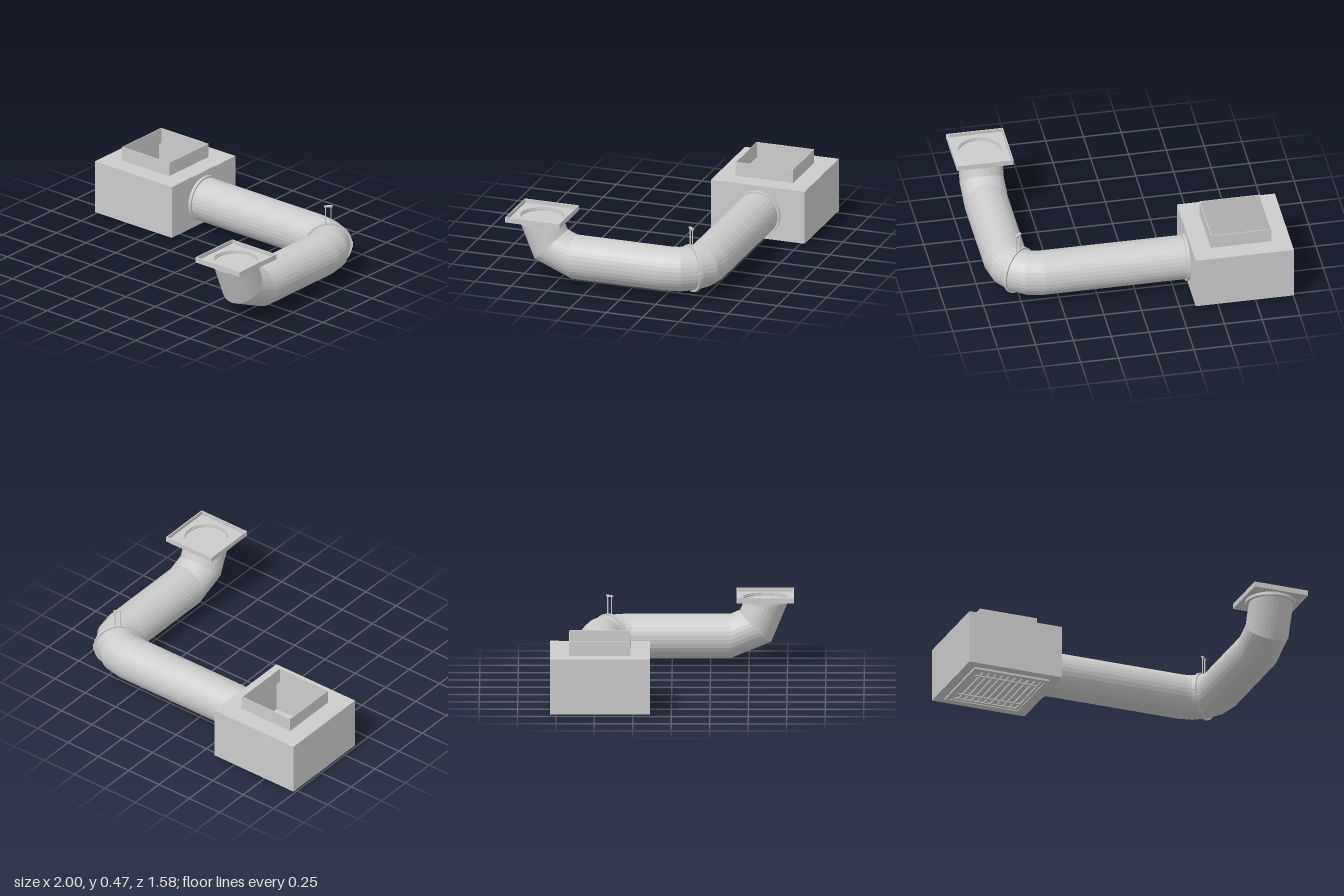
import * as THREE from 'three';

const metal = new THREE.MeshStandardMaterial({ color: 0xcccccc, flatShading: true, side: THREE.DoubleSide });

function add(parent, name, geometry, x = 0, y = 0, z = 0) {
  const mesh = new THREE.Mesh(geometry, metal);
  mesh.name = name;
  mesh.position.set(x, y, z);
  parent.add(mesh);
  return mesh;
}

const squarePath = (size, Kind) => {
  const h = size / 2;
  return new Kind([[-h, -h], [h, -h], [h, h], [-h, h]].map(([x, y]) => new THREE.Vector2(x, y)));
};
const circlePath = (r, Kind) => new Kind().absarc(0, 0, r, 0, Math.PI * 2);

// Extruded outline with a hole, depth along +z
function ring(outer, inner, depth) {
  outer.holes.push(inner);
  return new THREE.ExtrudeGeometry(outer, { depth, bevelEnabled: false, curveSegments: 32 });
}
// Same, laid flat so that depth rises along +y
const squareRing = (outer, inner, height) =>
  ring(squarePath(outer, THREE.Shape), squarePath(inner, THREE.Path), height).rotateX(-Math.PI / 2);
const roundRing = (outer, inner, depth) =>
  ring(circlePath(outer, THREE.Shape), circlePath(inner, THREE.Path), depth);

// Round duct swept through stations of centre, side and up vectors
function ductGeometry(stations, radius, sides = 32) {
  const positions = [], indices = [];
  for (const { centre, side, up } of stations) {
    for (let i = 0; i < sides; i++) {
      const a = (i / sides) * Math.PI * 2;
      const p = centre.clone().addScaledVector(side, radius * Math.cos(a)).addScaledVector(up, radius * Math.sin(a));
      positions.push(p.x, p.y, p.z);
    }
  }
  for (let s = 0; s < stations.length - 1; s++) {
    for (let i = 0; i < sides; i++) {
      const a = s * sides + i, b = s * sides + (i + 1) % sides;
      indices.push(a, b, a + sides, b, b + sides, a + sides);
    }
  }
  const g = new THREE.BufferGeometry();
  g.setAttribute('position', new THREE.Float32BufferAttribute(positions, 3));
  g.setIndex(indices);
  g.computeVertexNormals();
  return g;
}

export function createModel() {
  const model = new THREE.Group();
  model.name = 'ventilationDuct';
  const R = 0.145, axisY = 0.185, boxZ = -0.465, runX = 0.81;

  // Hollow plenum box with an open collar on top
  const plenum = new THREE.Group();
  plenum.name = 'plenumBox';
  plenum.position.set(-0.675, 0, boxZ);
  model.add(plenum);
  add(plenum, 'boxWalls', squareRing(0.65, 0.63, 0.36), 0, 0.015);
  add(plenum, 'boxTop', squareRing(0.648, 0.39, 0.01), 0, 0.366);
  add(plenum, 'boxBottom', squareRing(0.648, 0.45, 0.01), 0, 0.014);
  add(plenum, 'inletCollar', squareRing(0.4, 0.39, 0.095), 0, 0.375);

  // Grille under the box: stepped frame, tilted slats and cross bars
  const grille = new THREE.Group();
  grille.name = 'grille';
  plenum.add(grille);
  add(grille, 'grilleFrame', squareRing(0.525, 0.48, 0.015));
  add(grille, 'grilleInnerFrame', squareRing(0.48, 0.44, 0.01), 0, 0.006);
  for (let i = 0; i < 10; i++) {
    const slat = add(grille, 'slat', new THREE.BoxGeometry(0.046, 0.003, 0.45), (i - 4.5) * 0.045, 0.016);
    slat.rotation.z = 0.3;
  }
  for (const z of [-0.15, 0.15]) add(grille, 'crossBar', new THREE.BoxGeometry(0.45, 0.008, 0.012), 0, 0.008, z);

  // Duct: straight run, sideways elbow, second run, upward elbow
  const stations = [];
  const station = (x, y, z, side, up) => stations.push({ centre: new THREE.Vector3(x, y, z), side, up });
  const Y = new THREE.Vector3(0, 1, 0);
  const bendX = 0.61, bendZ = -0.265, bendR = 0.2;
  station(-0.35, axisY, boxZ, new THREE.Vector3(0, 0, 1), Y);
  for (let i = 0; i <= 4; i++) {
    const a = (i / 4) * Math.PI / 2, s = Math.sin(a), c = Math.cos(a);
    station(bendX + bendR * s, axisY, bendZ - bendR * c, new THREE.Vector3(-s, 0, c), Y);
  }
  const riseZ = 0.38, riseR = 0.23;
  for (let i = 0; i <= 2; i++) {
    const a = (i / 2) * Math.PI / 2, s = Math.sin(a), c = Math.cos(a);
    station(runX, axisY + riseR * (1 - c), riseZ + riseR * s, new THREE.Vector3(-1, 0, 0), new THREE.Vector3(0, c, -s));
  }
  add(model, 'duct', ductGeometry(stations, R));
  add(model, 'boxFlange', roundRing(0.157, R - 0.003, 0.02).rotateY(Math.PI / 2), -0.35, axisY, boxZ);

  // Outlet: round flange, square tray and recessed disc
  const outlet = new THREE.Group();
  outlet.name = 'outlet';
  outlet.position.set(runX, 0, 0.605);
  model.add(outlet);
  add(outlet, 'outletFlange', roundRing(0.165, 0.14, 0.02).rotateX(-Math.PI / 2), 0, 0.415);
  add(outlet, 'trayFloor', ring(squarePath(0.372, THREE.Shape), circlePath(R, THREE.Path), 0.008).rotateX(-Math.PI / 2), 0, 0.436);
  add(outlet, 'trayRim', squareRing(0.375, 0.36, 0.035), 0, 0.435);
  add(outlet, 'outletDisc', new THREE.CylinderGeometry(R, R, 0.004, 32), 0, 0.422);

  // Hanger clamp around the middle of the sideways elbow
  const hanger = new THREE.Group();
  hanger.name = 'hanger';
  hanger.position.set(bendX + bendR * Math.SQRT1_2, axisY, bendZ - bendR * Math.SQRT1_2);
  hanger.rotation.y = Math.PI / 4;
  model.add(hanger);
  add(hanger, 'clampRing', roundRing(0.157, 0.142, 0.018), 0, 0, -0.009);
  for (const side of [-1, 1]) {
    add(hanger, 'clampEar', new THREE.BoxGeometry(0.014, 0.03, 0.024), side * 0.154, 0, 0);
    add(hanger, 'hangerRod', new THREE.CylinderGeometry(0.004, 0.004, 0.13, 8), side * 0.018, 0.21, 0);
  }
  add(hanger, 'hangerPlate', new THREE.BoxGeometry(0.056, 0.01, 0.015), 0, 0.275, 0);
  return model;
}
